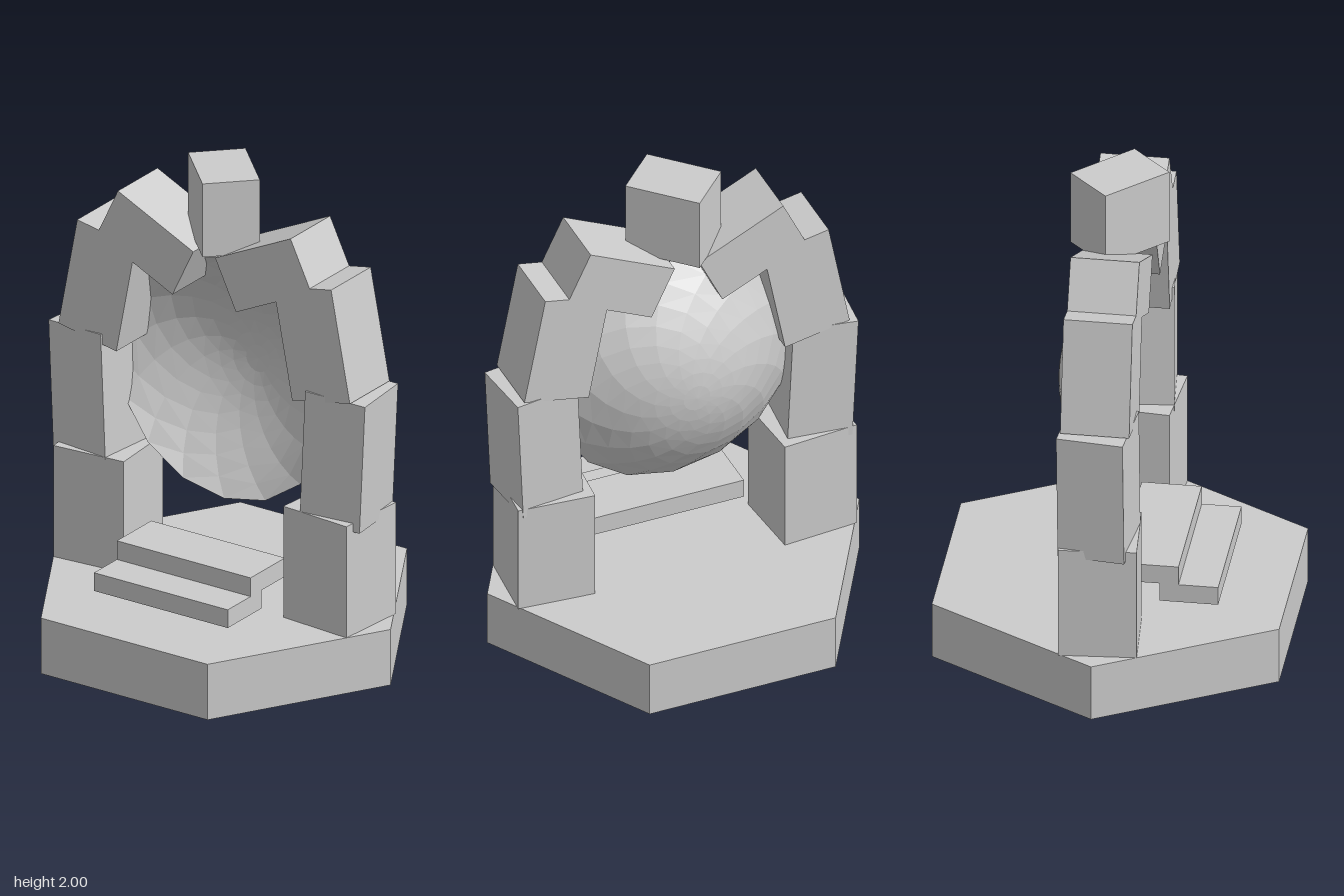
import * as THREE from 'three';

export function createModel() {
  const model = new THREE.Group();
  const stone = new THREE.MeshStandardMaterial({ color: 0xcccccc, flatShading: true });

  function add(name, geometry, x, y, z, yaw = 0, roll = 0, material = stone) {
    const mesh = new THREE.Mesh(geometry, material);
    mesh.name = name;
    mesh.position.set(x, y, z);
    mesh.rotation.set(0, yaw, roll);
    model.add(mesh);
    return mesh;
  }
  const box = (w, h, d) => new THREE.BoxGeometry(w, h, d);

  // Hexagonal plinth with corners on the x axis
  add('base', new THREE.CylinderGeometry(0.785, 0.785, 0.235, 6, 1, false, Math.PI / 6), 0, 0.1175, 0);

  // Two overlapping steps
  add('lowerStep', box(0.63, 0.077, 0.23), 0, 0.3175, 0.315);
  add('upperStep', box(0.63, 0.079, 0.235), 0, 0.3955, 0.157);

  // Arch stones of one side, mirrored: [name, size, x, y, yaw, roll]
  const stones = [
    ['FootStone', [0.315, 0.47, 0.305], 0.545, 0.47, -0.08, 0],
    ['PillarStone', [0.265, 0.54, 0.265], 0.588, 0.943, 0.1, -0.045],
    ['ShoulderStone', [0.277, 0.468, 0.27], 0.506, 1.417, 0, 0.19],
    ['CrownStone', [0.393, 0.227, 0.27], 0.278, 1.655, 0, 0.445],
  ];
  for (const [side, s] of [['left', 1], ['right', -1]]) {
    for (const [name, size, x, y, yaw, roll] of stones) {
      add(side + name, box(...size), s * x, y, 0, s * yaw, s * roll);
    }
  }

  // Keystone turned on its corner
  add('keystone', box(0.31, 0.31, 0.226), 0, 1.845, 0, -Math.PI / 4);

  // Shallow faceted dish, hollow toward the front, with its rings twisted into a swirl
  const rings = 9, sides = 16, radius = 0.508, depth = 0.235, twist = 0.13;
  const positions = [0, 0, -depth], index = [];
  for (let i = 1; i <= rings; i++) {
    const t = i / rings;
    for (let j = 0; j < sides; j++) {
      const a = (j / sides) * Math.PI * 2 + (rings - i) * twist;
      positions.push(radius * t * Math.sin(a), radius * t * Math.cos(a), -depth * (1 - t * t));
    }
  }
  const at = (i, j) => 1 + (i - 1) * sides + (j % sides);
  for (let j = 0; j < sides; j++) {
    index.push(0, at(1, j + 1), at(1, j));
    for (let i = 1; i < rings; i++) {
      const a = at(i, j), b = at(i, j + 1), c = at(i + 1, j), d = at(i + 1, j + 1);
      index.push(a, b, d, a, d, c);
    }
  }
  const dish = new THREE.BufferGeometry();
  dish.setAttribute('position', new THREE.Float32BufferAttribute(positions, 3));
  dish.setIndex(index);
  const facets = dish.toNonIndexed();
  facets.computeVertexNormals();
  const thin = stone.clone();
  thin.side = THREE.DoubleSide;
  add('swirlDish', facets, 0, 1.102, 0, 0, 0, thin);

  return model;
}
